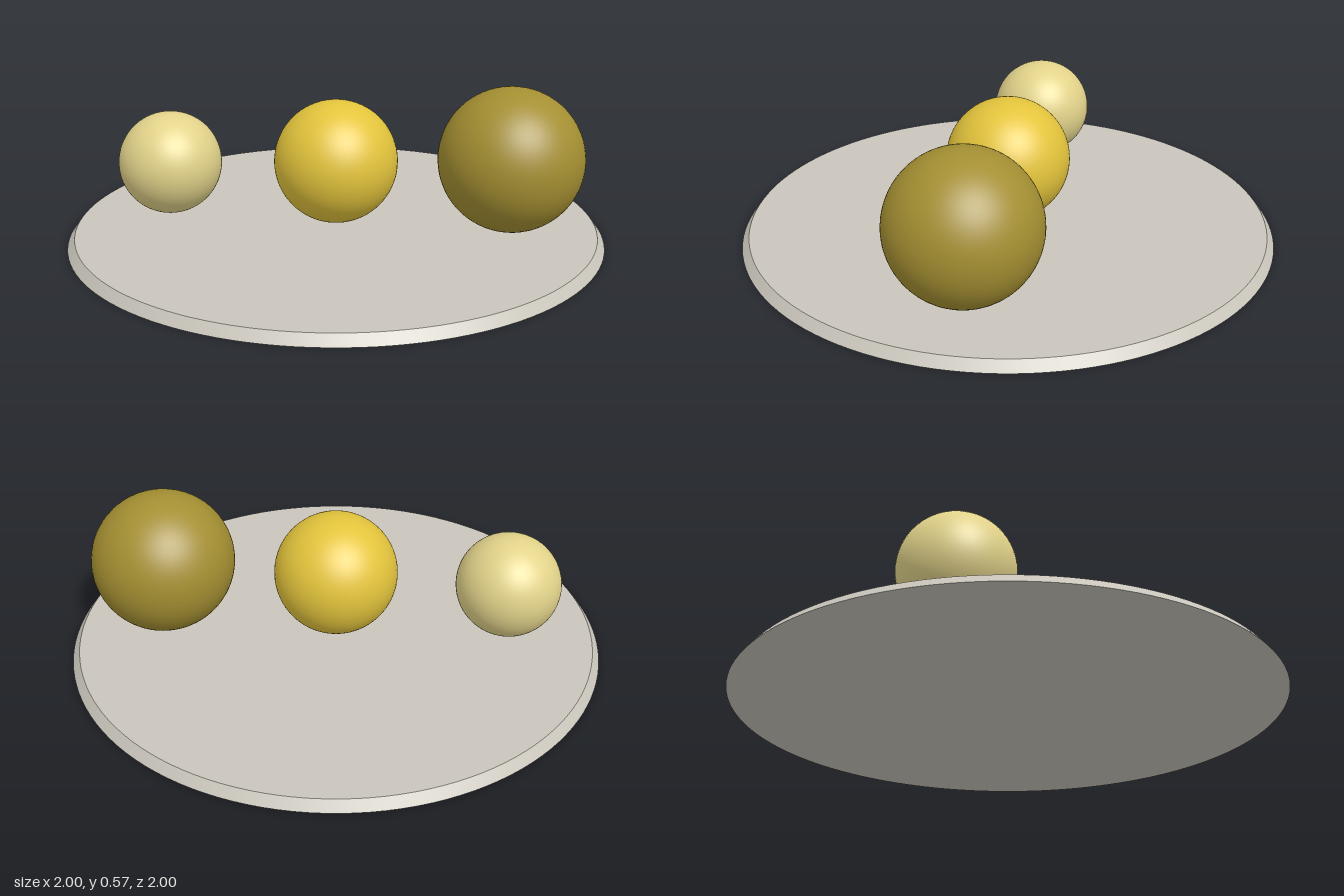
import * as THREE from 'three';

const material = (name, color) => {
  const m = new THREE.MeshStandardMaterial({ color });
  m.name = name;
  return m;
};

export function createModel() {
  const group = new THREE.Group();
  group.name = 'ballsOnPlate';

  // Round plate with a bevelled rim
  const height = 0.035;
  const plate = new THREE.Mesh(
    new THREE.CylinderGeometry(0.973, 1, height, 128),
    material('warm grey', 0xc9c5bb)
  );
  plate.name = 'plate';
  plate.position.y = height / 2;
  group.add(plate);

  // Three balls, growing from front right to back left
  const balls = [
    ['smallBall', 0.197, [-0.556, 0.23, 0.333], material('pale straw', 0xe2d38a)],
    ['middleBall', 0.232, [0, 0.268, 0], material('golden yellow', 0xe3c43c)],
    ['largeBall', 0.267, [0.556, 0.308, -0.333], material('dark olive gold', 0xa48f32)],
  ];
  for (const [name, radius, position, mat] of balls) {
    const ball = new THREE.Mesh(new THREE.SphereGeometry(radius, 64, 40), mat);
    ball.name = name;
    ball.position.set(...position);
    group.add(ball);
  }

  return group;
}
